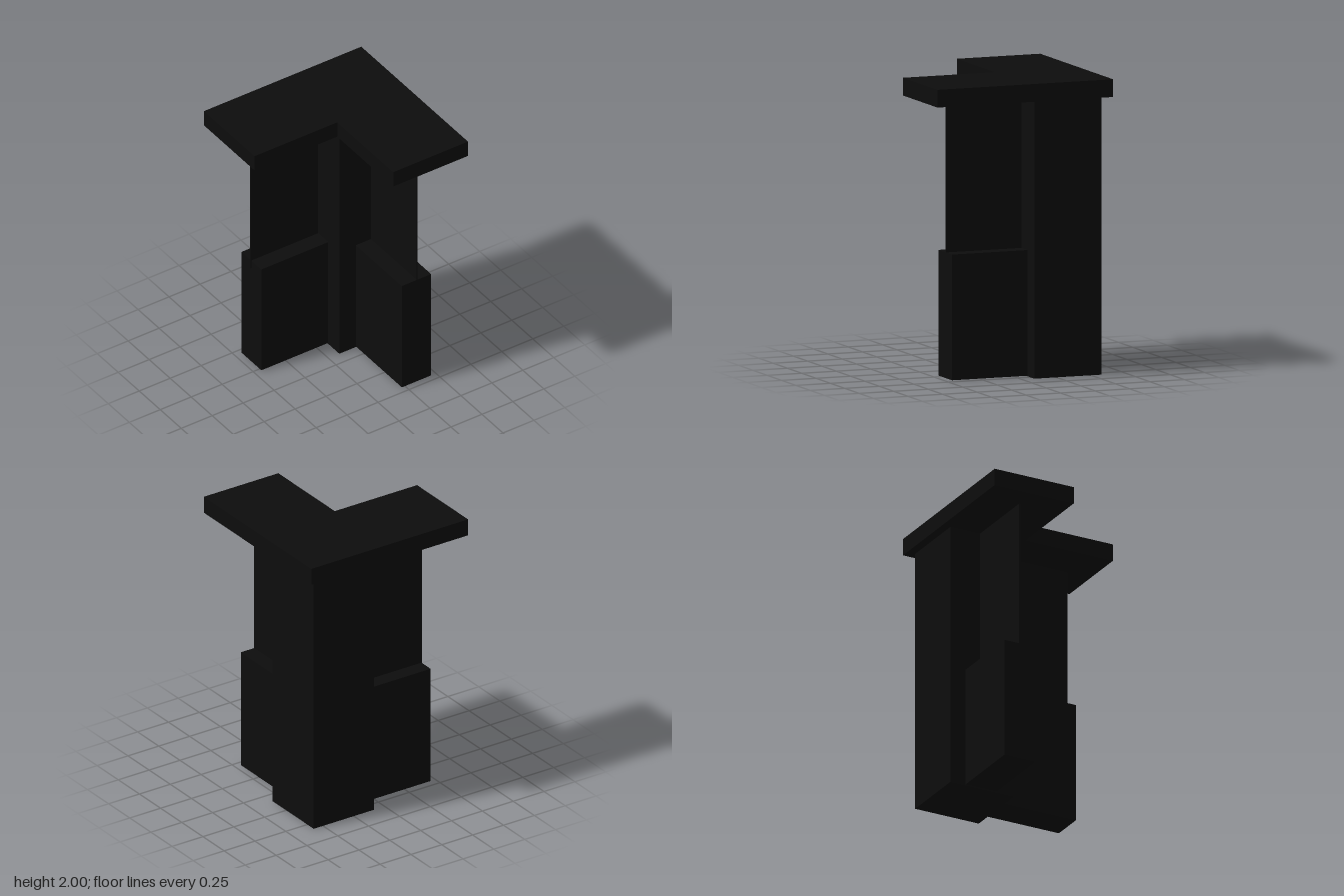
import * as THREE from 'three';

export function createModel() {
  const group = new THREE.Group();
  const black = new THREE.MeshStandardMaterial({ color: 0x0d0d0d });
  black.name = 'matte black';

  // Box given by its lower and upper corners
  function box(name, [x0, y0, z0], [x1, y1, z1]) {
    const mesh = new THREE.Mesh(new THREE.BoxGeometry(x1 - x0, y1 - y0, z1 - z0), black);
    mesh.position.set((x0 + x1) / 2, (y0 + y1) / 2, (z0 + z1) / 2);
    mesh.name = name;
    group.add(mesh);
  }

  // L-shaped top slab, drawn in plan and extruded upwards
  const plan = [[-0.635, 0.635], [-0.635, 0.032], [0.032, 0.032], [0.032, -0.635], [0.635, -0.635], [0.635, 0.635]];
  const shape = new THREE.Shape(plan.map(([x, y]) => new THREE.Vector2(x, y)));
  const slab = new THREE.ExtrudeGeometry(shape, { depth: 0.12, bevelEnabled: false });
  slab.rotateX(-Math.PI / 2);
  const top = new THREE.Mesh(slab, black);
  top.position.y = 1.88;
  top.name = 'topSlab';
  group.add(top);

  // Square corner post
  box('cornerPost', [0.088, 0, -0.575], [0.575, 1.88, -0.09]);

  // Thick low walls running out from the post
  box('sideLowWall', [-0.452, 0.008, -0.458], [0.088, 0.853, -0.222]);
  box('frontLowWall', [0.222, 0.004, -0.09], [0.458, 0.853, 0.457]);

  // Thin upright panels between the low walls and the slab
  box('sidePanel', [-0.457, 0.79, -0.35], [0.088, 1.88, -0.342]);
  box('frontPanel', [0.342, 0.79, -0.09], [0.35, 1.88, 0.457]);

  return group;
}
